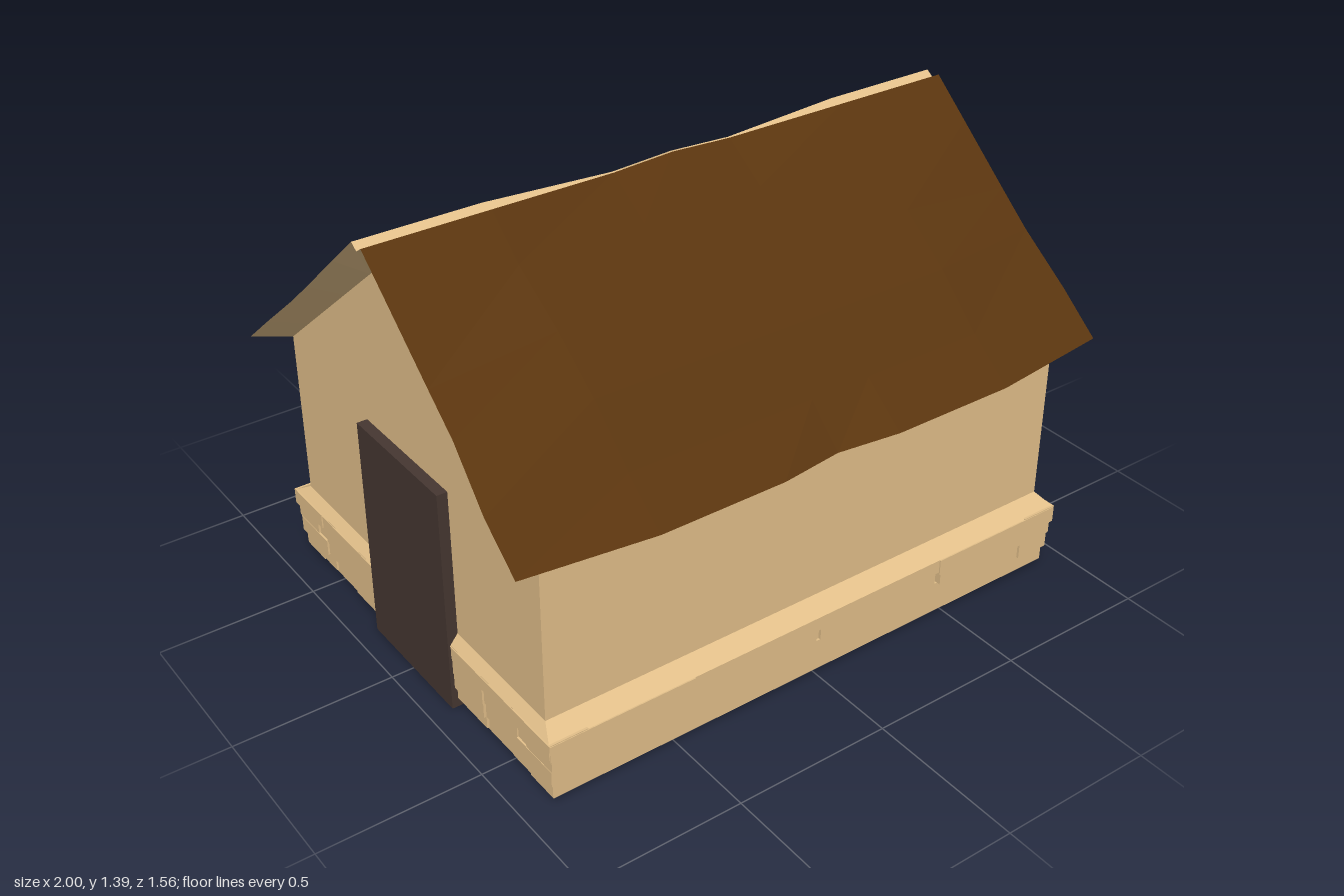
import * as THREE from 'three';

const wallMat = new THREE.MeshStandardMaterial({ color: 0xe3c08a, flatShading: true });
const soffitMat = new THREE.MeshStandardMaterial({ color: 0xe3c08a, flatShading: true, side: THREE.DoubleSide });
const roofMat = new THREE.MeshStandardMaterial({ color: 0x5a350f, flatShading: true, side: THREE.DoubleSide });
const doorMat = new THREE.MeshStandardMaterial({ color: 0x463731 });

function add(parent, name, geometry, material) {
  const mesh = new THREE.Mesh(geometry, material);
  mesh.name = name;
  parent.add(mesh);
  return mesh;
}

// Box given by its lower and upper limits; the top can be drawn in by insets
function block(parent, name, x0, x1, y0, y1, z0, z1, material = wallMat, insetX = 0, insetZ = 0) {
  const g = new THREE.BoxGeometry(x1 - x0, y1 - y0, z1 - z0);
  const p = g.attributes.position;
  for (let i = 0; i < p.count; i++) {
    if (p.getY(i) < 0) continue;
    p.setX(i, p.getX(i) - Math.sign(p.getX(i)) * insetX);
    p.setZ(i, p.getZ(i) - Math.sign(p.getZ(i)) * insetZ);
  }
  g.translate((x0 + x1) / 2, (y0 + y1) / 2, (z0 + z1) / 2);
  return add(parent, name, g, material);
}

// Surface through rows of points of equal length
function sheet(rows) {
  const n = rows[0].length, index = [];
  for (let r = 0; r < rows.length - 1; r++) {
    for (let c = 0; c < n - 1; c++) {
      const a = r * n + c, b = a + n;
      index.push(a, b, a + 1, a + 1, b, b + 1);
    }
  }
  const g = new THREE.BufferGeometry();
  g.setAttribute('position', new THREE.Float32BufferAttribute(rows.flat(2), 3));
  g.setIndex(index);
  g.computeVertexNormals();
  return g;
}

const WALL_X = 0.895, WALL_Z = 0.67, EAVE_Y = 0.79, PEAK_Y = 1.33;

// Roof slope sections as [z, y] from ridge to eave: bulging middle and straight ends
const midSlope = [[0.025, 1.395], [0.15, 1.285], [0.33, 1.17], [0.49, 1.045], [0.64, 0.9], [0.78, 0.79]];
const endSlope = [[0.025, 1.395], [0.15, 1.288], [0.33, 1.133], [0.44, 1.04], [0.6, 0.905], [0.735, 0.795]];
const endX = [0.985, 0.985, 0.985, 0.985, 1, 1];
const columns = [-1, -0.6, -0.2, 0, 0.2, 0.6, 1];

function roofPoint(x, row, side) {
  const isEnd = Math.abs(x) === 1;
  let [z, y] = (isEnd ? endSlope : midSlope)[row];
  if (isEnd) x *= endX[row];
  else if (row === 0 && Math.abs(x) < 0.5) [z, y] = [0.004, x === 0 ? 1.393 : 1.383];
  else if (row === 5 && x === 0) z = 0.755;
  return [x, y, z * side];
}

function buildRoof() {
  const roof = new THREE.Group();
  roof.name = 'roof';
  for (const side of [1, -1]) {
    // Brown covering
    const rows = midSlope.map((_, r) => columns.map(x => roofPoint(x, r, side)));
    add(roof, side > 0 ? 'frontRoofSlope' : 'backRoofSlope', sheet(rows), roofMat);
    // Half of the ridge valley between the two coverings
    const centre = columns.map(x => [x * (Math.abs(x) === 1 ? 0.985 : 1), 1.378, 0]);
    add(roof, 'ridgeStrip', sheet([centre, rows[0]]), soffitMat);
    // Underside of the eave
    const wallTop = columns.map(x => [x * WALL_X, EAVE_Y, WALL_Z * side]);
    add(roof, 'eaveSoffit', sheet([wallTop, rows[5]]), soffitMat);
    // Underside of the gable overhang
    for (const end of [1, -1]) {
      const edge = [[end * 0.985, 1.378, 0], ...endSlope.map((_, r) => roofPoint(end, r, side))];
      const gable = edge.map((_, i) => {
        const t = i === 0 ? 0 : (endSlope[i - 1][0] - 0.025) / 0.71;
        return [end * WALL_X, PEAK_Y + (EAVE_Y - PEAK_Y) * t, WALL_Z * t * side];
      });
      add(roof, 'gableSoffit', sheet([gable, edge]), soffitMat);
    }
  }
  return roof;
}

function buildWalls() {
  const s = new THREE.Shape();
  s.moveTo(-WALL_Z, 0.2);
  s.lineTo(WALL_Z, 0.2);
  s.lineTo(WALL_Z, EAVE_Y);
  s.lineTo(0, PEAK_Y);
  s.lineTo(-WALL_Z, EAVE_Y);
  s.closePath();
  const g = new THREE.ExtrudeGeometry(s, { depth: WALL_X * 2, bevelEnabled: false });
  g.translate(0, 0, -WALL_X);
  g.rotateY(Math.PI / 2);
  const mesh = new THREE.Mesh(g, wallMat);
  mesh.name = 'walls';
  return mesh;
}

function buildFoundation() {
  const base = new THREE.Group();
  base.name = 'foundation';
  block(base, 'foundationCore', -0.9, 0.9, 0.022, 0.225, -0.705, 0.705);
  block(base, 'slopedLedge', -0.922, 0.922, 0.222, 0.256, -0.728, 0.728, wallMat, 0.027, 0.058);

  // Long sides: top course, corner stones and two middle stones with a gap
  for (const s of [1, -1]) {
    const strip = (name, x0, x1, y0, y1, z) =>
      block(base, name, x0, x1, y0, y1, s > 0 ? 0.6 : -z, s > 0 ? z : -0.6);
    strip('topCourse', -0.922, 0.922, 0.177, 0.222, 0.728);
    for (const m of [1, -1]) {
      const span = (a, b) => (m > 0 ? [a, b] : [-b, -a]);
      strip('cornerStone', ...span(0.46, 0.915), 0.127, 0.17, 0.726);
      strip('cornerCap', ...span(0.45, 0.922), 0.17, 0.222, 0.732);
      strip('middleStone', ...span(0.008, 0.45), 0.125, 0.177, 0.714);
    }
    strip('bottomCourse', -0.905, 0.905, 0.022, 0.125, 0.712);
  }

  // Short sides: courses of [y0, y1, [inner z, outer z, face x]...], mirrored in z
  const courses = [
    [0.03, 0.072, [0, 0.38, 0.908], [0.38, 0.515, 0.9], [0.515, 0.712, 0.906]],
    [0.072, 0.123, [0, 0.38, 0.916], [0.38, 0.55, 0.908], [0.55, 0.72, 0.914]],
    [0.123, 0.177, [0, 0.2, 0.908], [0.2, 0.38, 0.918], [0.38, 0.55, 0.912], [0.55, 0.69, 0.908]],
    [0.177, 0.225, [0, 0.2, 0.926], [0.2, 0.55, 0.92], [0.55, 0.73, 0.924]],
  ];
  for (const end of [1, -1]) {
    for (const [y0, y1, ...stones] of courses) {
      for (const [a, b, x] of stones) {
        for (const m of [1, -1]) {
          block(base, 'endStone', end > 0 ? 0.8 : -x, end > 0 ? x : -0.8, y0, y1,
            m > 0 ? a : -b, m > 0 ? b : -a);
        }
      }
    }
  }
  return base;
}

export function createModel() {
  const house = new THREE.Group();
  house.name = 'house';
  house.add(buildFoundation(), buildWalls(), buildRoof());
  // Door on the right end
  block(house, 'door', -0.928, -0.88, 0, 0.73, -0.222, 0.222, doorMat);
  return house;
}
